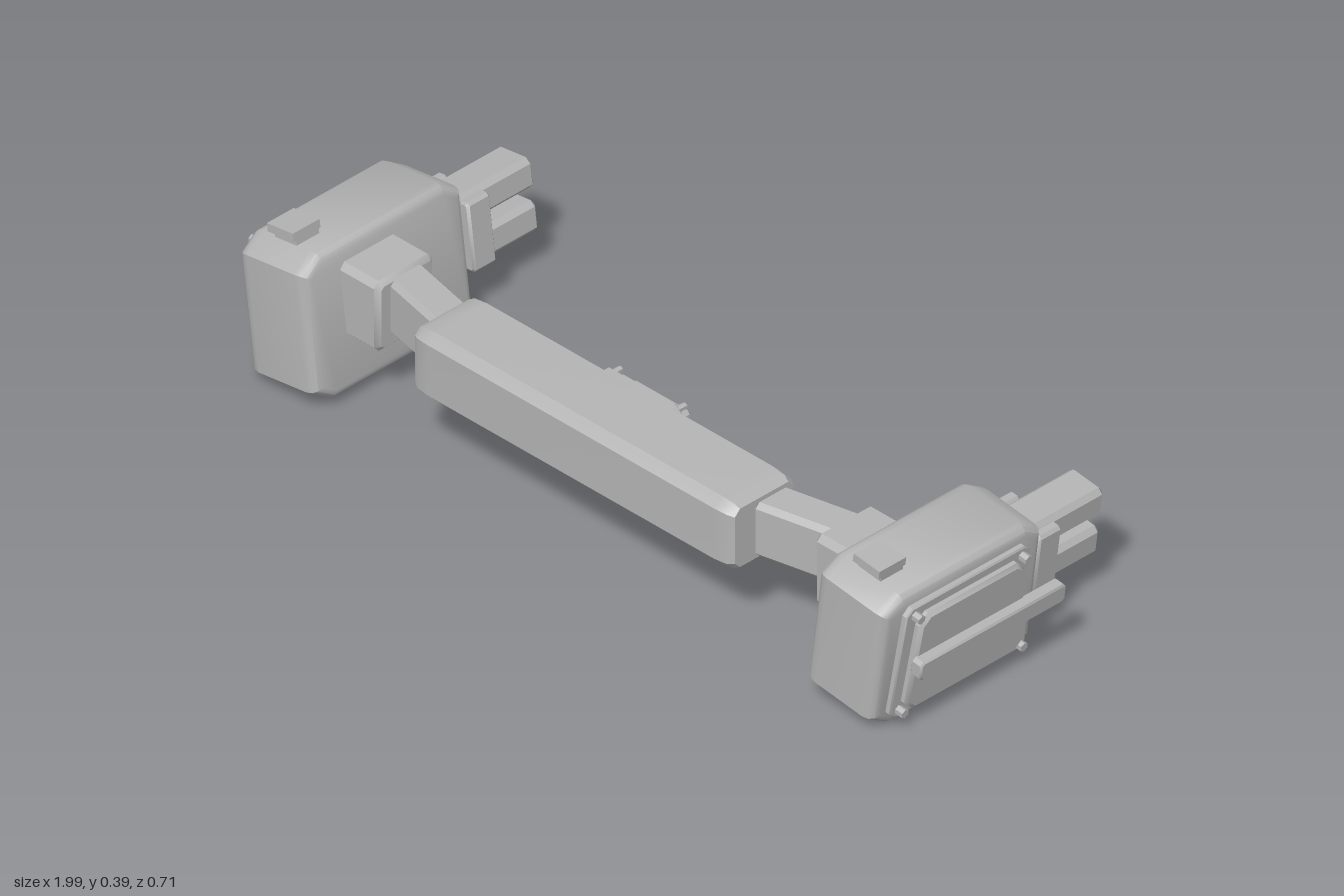
import * as THREE from 'three';
import { toCreasedNormals } from 'three/addons/utils/BufferGeometryUtils.js';

const grey = new THREE.MeshStandardMaterial({ color: 0xb4b4b4 });
grey.name = 'plain grey';

function add(parent, name, geometry, x = 0, y = 0, z = 0) {
  const mesh = new THREE.Mesh(toCreasedNormals(geometry, 0.65), grey);
  mesh.name = name;
  mesh.position.set(x, y, z);
  parent.add(mesh);
  return mesh;
}

// Trapezoid outline with cut corners (wb: bottom width, wt: top width)
function outline(wb, wt, h, cutX, cutY = cutX) {
  const b = wb / 2, t = wt / 2, k = h / 2;
  return [
    [-b + cutX, -k], [b - cutX, -k], [b, -k + cutY], [t, k - cutY],
    [t - cutX, k], [-t + cutX, k], [-t, k - cutY], [-b, -k + cutY],
  ].map(([x, y]) => new THREE.Vector2(x, y));
}

// Outline extruded along z from 0 to depth; bevels stay inside the overall size
function slab(wb, wt, h, depth, cutX, cutY, size = 0.005, thick = size, segments = 1) {
  const shape = new THREE.Shape(outline(wb, wt, h, cutX, cutY));
  return new THREE.ExtrudeGeometry(shape, {
    depth: depth - 2 * thick, bevelEnabled: true, bevelSize: size, bevelOffset: -size,
    bevelThickness: thick, bevelSegments: segments,
  }).translate(0, 0, thick);
}

// Block centred on the origin with every edge cut; long axis is z
const block = (w, h, d, cut) => slab(w, w, h, d, cut, cut, cut * 0.8).translate(0, 0, -d / 2);

// Bolted cover facing +z: frame, raised panel, corner bolts and a cross bar
function cover(name, { wb, wt, h, margin, bolt, bar, barX = 0, barH, rise }) {
  const g = new THREE.Group();
  g.name = name;
  add(g, 'frame', slab(wb, wt, h, rise, margin * 0.7, margin * 0.7, 0.003));
  add(g, 'raisedPanel', slab(wb - 2.2 * margin, wt - 2.2 * margin, h - 1.6 * margin, rise * 1.6,
    margin, margin, rise * 0.5), 0, 0, rise * 0.6);
  for (const sx of [-1, 1]) for (const sy of [-1, 1]) {
    const head = new THREE.CylinderGeometry(bolt, bolt, rise * 1.5, 6).rotateX(Math.PI / 2);
    const half = (sy < 0 ? wb : wt) / 2;
    add(g, 'bolt', head, sx * (half - margin), sy * (h / 2 - margin * 0.85), rise * 1.5);
  }
  add(g, 'crossBar', slab(bar, bar, barH, rise * 1.9, 0.008, 0.008, 0.004), barX, 0, rise * 1.8);
  return g;
}

function createSide() {
  const side = new THREE.Group();

  // Slanted arm and the collar joining it to the pod
  const arm = block(0.1, 0.135, 0.22, 0.012).rotateY(Math.PI / 2);
  const p = arm.attributes.position;
  for (let i = 0; i < p.count; i++) p.setZ(i, p.getZ(i) - 0.22 * p.getX(i));
  arm.computeVertexNormals();
  add(side, 'arm', arm, 0.55, 0.245, 0.185);
  add(side, 'collar', block(0.17, 0.175, 0.14, 0.014).rotateY(Math.PI / 2), 0.71, 0.233, 0.168);

  // Tilted pod
  const pod = new THREE.Group();
  pod.name = 'pod';
  pod.position.set(0.835, 0.18, 0.122);
  pod.rotation.z = -0.13;
  side.add(pod);
  add(pod, 'podBody', slab(0.466, 0.466, 0.348, 0.2, 0.052, 0.034, 0.022, 0.03, 3)
    .translate(0, 0, -0.1).rotateY(Math.PI / 2));

  const outer = cover('outerCover', {
    wb: 0.395, wt: 0.36, h: 0.285, margin: 0.024, bolt: 0.011,
    bar: 0.424, barX: 0.045, barH: 0.047, rise: 0.0165,
  });
  outer.position.x = 0.098;
  outer.rotation.y = Math.PI / 2;
  pod.add(outer);

  // Pair of rear prongs held between two clamps
  for (const y of [0.055, -0.047])
    add(pod, 'prong', block(0.098, 0.073, 0.26, 0.012), -0.005, y, -0.344);
  for (const x of [-0.066, 0.056])
    add(pod, 'clamp', block(0.03, 0.166, 0.066, 0.007), x, 0.004, -0.289);

  // Small stepped block on top
  add(pod, 'topBlockBase', new THREE.BoxGeometry(0.065, 0.045, 0.065), 0, 0.18, 0.15);
  add(pod, 'topBlockCap', new THREE.BoxGeometry(0.077, 0.02, 0.078), 0, 0.2, 0.157);
  return side;
}

export function createModel() {
  const model = new THREE.Group();
  model.name = 'linkedPods';

  // Central beam with tapered ends
  add(model, 'beam', slab(0.195, 0.195, 0.17, 0.94, 0.022, 0.022, 0.012, 0.05, 2)
    .translate(0, 0, -0.47).rotateY(Math.PI / 2), 0, 0.25, 0.2275);

  // Rear cover in the middle of the beam
  const rear = cover('rearCover', {
    wb: 0.25, wt: 0.225, h: 0.125, margin: 0.018, bolt: 0.008,
    bar: 0.166, barH: 0.03, rise: 0.0205,
  });
  rear.position.set(0, 0.25, 0.132);
  rear.rotation.y = Math.PI;
  model.add(rear);

  // Long slot plates either side of it
  for (const s of [-1, 1]) {
    const slot = new THREE.Group();
    slot.name = 'slotPlate';
    slot.position.set(s * 0.3, 0.25, 0.132);
    slot.rotation.y = Math.PI;
    add(slot, 'slotBase', slab(0.205, 0.205, 0.055, 0.011, 0.022, 0.018, 0.003));
    add(slot, 'slotBar', slab(0.165, 0.165, 0.024, 0.012, 0.006, 0.006, 0.003), 0, 0, 0.01);
    model.add(slot);
  }

  // Mirrored arm and pod assemblies
  for (const s of [1, -1]) {
    const side = createSide();
    side.name = s > 0 ? 'leftSide' : 'rightSide';
    side.scale.x = s;
    model.add(side);
  }
  return model;
}
